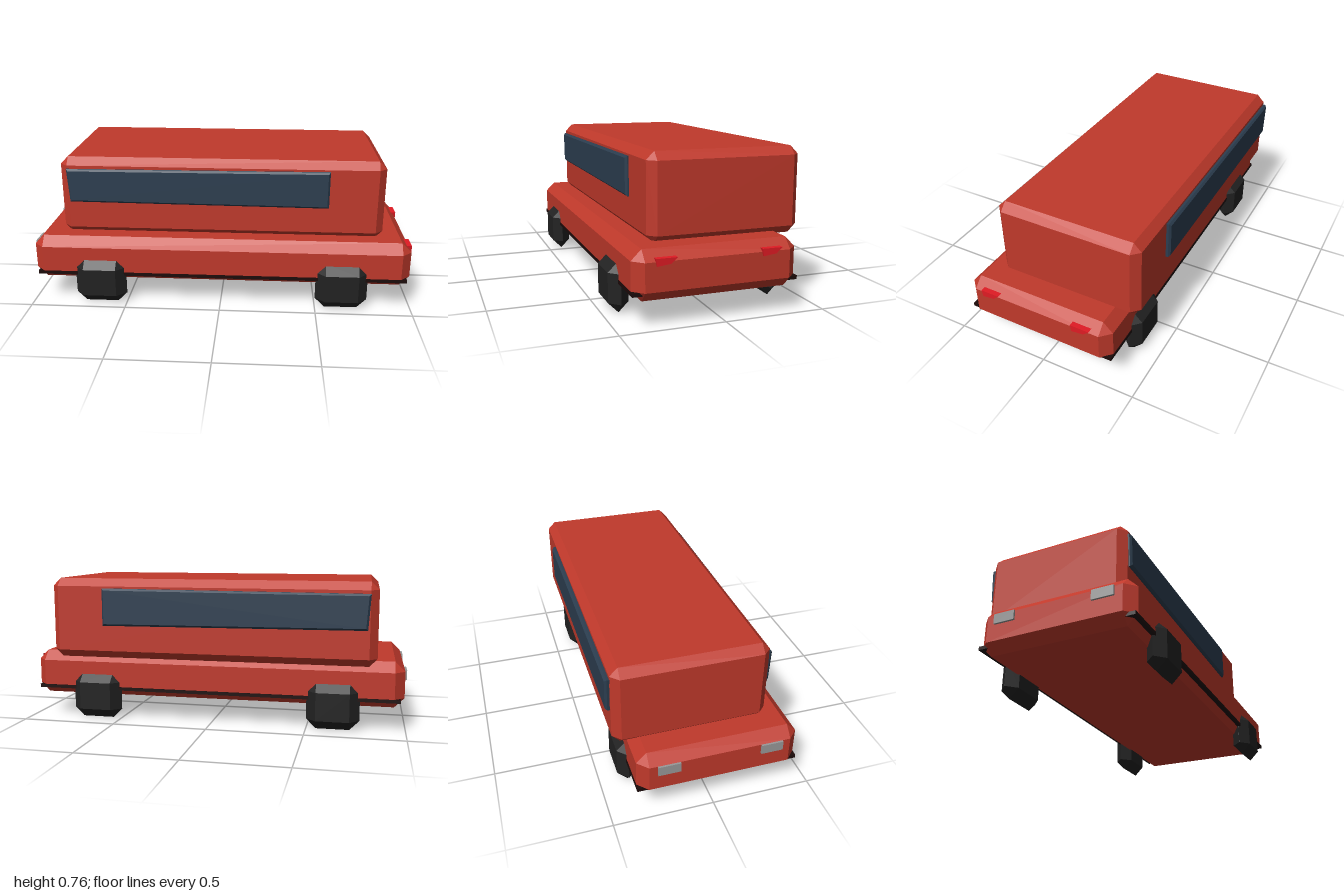
import * as THREE from 'three';
import { ConvexGeometry } from 'three/addons/geometries/ConvexGeometry.js';

const paint = (color) => new THREE.MeshStandardMaterial({ color });

// Box between two corners with every edge cut at 45 degrees by c.
function chamferBox([x0, y0, z0], [x1, y1, z1], c) {
  const half = [(x1 - x0) / 2, (y1 - y0) / 2, (z1 - z0) / 2];
  const points = [];
  for (let axis = 0; axis < 3; axis++) {
    for (const sx of [-1, 1]) for (const sy of [-1, 1]) for (const sz of [-1, 1]) {
      const p = [sx, sy, sz].map((s, i) => s * (half[i] - (i === axis ? 0 : c)));
      points.push(new THREE.Vector3(...p));
    }
  }
  return new ConvexGeometry(points).translate((x0 + x1) / 2, (y0 + y1) / 2, (z0 + z1) / 2);
}

const polygon = (corners) => new THREE.Shape(corners.map(([x, y]) => new THREE.Vector2(x, y)));

export function createModel() {
  const model = new THREE.Group();
  const red = paint(0xc0392b);
  const glass = paint(0x2c3e50);
  const black = paint(0x222222);
  const trim = paint(0x1c0a09);
  const lampGrey = paint(0x999999);
  const lampRed = paint(0xe01b24);
  const add = (name, geometry, material) => {
    const mesh = new THREE.Mesh(geometry, material);
    mesh.name = name;
    model.add(mesh);
    return mesh;
  };

  // Wide lower body with the taller cabin set back on it
  add('lowerBody', chamferBox([-0.99, 0.12, -0.37], [0.99, 0.355, 0.43], 0.05), red);
  add('cabin', chamferBox([-0.85, 0.34, -0.45], [0.85, 0.76, 0.315], 0.04), red);

  // Long side windows, slightly out of square, with a bevelled rim
  const bevel = 0.01;
  const windowShape = polygon([[-0.8, 0.525], [0.56, 0.515], [0.56, 0.71], [-0.812, 0.703]]);
  const windowGeometry = new THREE.ExtrudeGeometry(windowShape, {
    depth: 0.02, bevelThickness: bevel, bevelSize: bevel, bevelOffset: -bevel, bevelSegments: 1,
  });
  add('frontWindow', windowGeometry, glass).position.z = 0.302;
  add('backWindow', windowGeometry, glass).position.z = -0.462;

  // Sill strips along both long sides
  for (const [name, z] of [['frontSill', 0.407], ['backSill', -0.348]]) {
    const sill = add(name, new THREE.BoxGeometry(1.94, 0.018, 0.05), trim);
    sill.position.set(0, 0.161, z);
  }

  // Blocky wheels
  for (const x of [-0.635, 0.635]) {
    for (const z of [0.42, -0.36]) {
      const geometry = chamferBox([-0.135, 0, -0.05], [0.135, 0.245, 0.05], 0.0495);
      add('wheel', geometry, black).position.set(x, 0, z);
    }
  }

  // Lamps: plain blocks at the nose, wedge-shaped ones at the tail
  const wedge = polygon([[-0.05, 0.322], [-0.044, 0.287], [0.02, 0.295], [0.05, 0.322]]);
  const tailGeometry = new THREE.ExtrudeGeometry(wedge, { depth: 0.04, bevelEnabled: false });
  for (const z of [-0.225, 0.285]) {
    const head = add('headlamp', new THREE.BoxGeometry(0.04, 0.05, 0.11), lampGrey);
    head.position.set(-0.98, 0.28, z);
    const tail = add('tailLamp', tailGeometry, lampRed);
    tail.rotation.y = Math.PI / 2;
    tail.position.set(0.96, 0, z);
  }

  return model;
}
